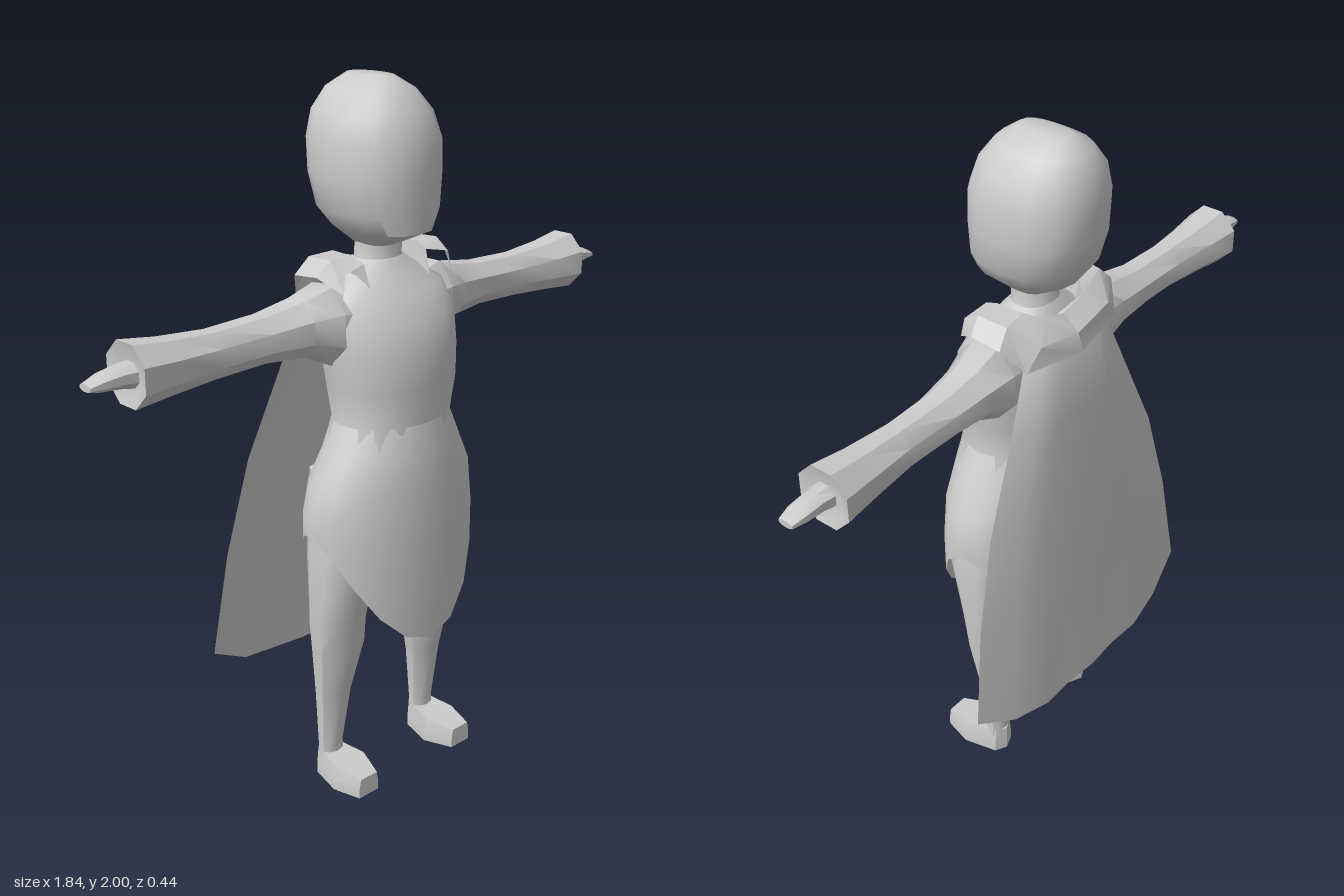
import * as THREE from 'three';
import { toCreasedNormals } from 'three/addons/utils/BufferGeometryUtils.js';

const grey = new THREE.MeshStandardMaterial({ color: 0xcccccc, side: THREE.DoubleSide });
grey.name = 'plainGrey';

// Skin a list of point rows; open rows do not wrap round, caps fill the ends.
function loft(rows, options) {
  const n = rows[0].length;
  const pos = rows.flat(2);
  const idx = [];
  const at = function (i, j) {
    return i * n + (j % n);
  };
  const steps = options.open ? n - 1 : n;
  for (let i = 0; i < rows.length - 1; i++) {
    for (let j = 0; j < steps; j++) {
      const a = at(i, j);
      const c = at(i + 1, j + 1);
      idx.push(a, at(i, j + 1), c);
      idx.push(a, c, at(i + 1, j));
    }
  }
  const cap = function (i, flip) {
    const m = pos.length / 3;
    const centre = [0, 0, 0];
    for (const p of rows[i]) {
      for (let k = 0; k < 3; k++) centre[k] += p[k] / n;
    }
    pos.push(centre[0], centre[1], centre[2]);
    for (let j = 0; j < n; j++) {
      if (flip) idx.push(m, at(i, j + 1), at(i, j));
      else idx.push(m, at(i, j), at(i, j + 1));
    }
  };
  if (options.capStart) cap(0, true);
  if (options.capEnd) cap(rows.length - 1, false);
  const geometry = new THREE.BufferGeometry();
  geometry.setAttribute('position', new THREE.Float32BufferAttribute(pos, 3));
  geometry.setIndex(idx);
  return toCreasedNormals(geometry, options.crease);
}

// Horizontal oval ring from its extents; power under 1 makes it squarer.
// heightAt gives y from the cosine of the angle, 1 at the front and -1 at the back.
function ovalAt(heightAt, x0, x1, z0, z1, n, power) {
  const bend = function (v) {
    return Math.sign(v) * Math.pow(Math.abs(v), power);
  };
  const ring = [];
  for (let j = 0; j < n; j++) {
    const a = (2 * Math.PI * j) / n;
    const x = (x0 + x1) / 2 + (bend(Math.sin(a)) * (x1 - x0)) / 2;
    const z = (z0 + z1) / 2 + (bend(Math.cos(a)) * (z1 - z0)) / 2;
    ring.push([x, heightAt(Math.cos(a)), z]);
  }
  return ring;
}

function oval(y, x0, x1, z0, z1, n, power) {
  const level = function () {
    return y;
  };
  return ovalAt(level, x0, x1, z0, z1, n, power);
}

// Upright eight-sided ring across the arm.
function armRing(x, y0, y1, z0, z1) {
  const ring = [];
  for (let j = 0; j < 8; j++) {
    const a = (2 * Math.PI * (j + 0.5)) / 8;
    const y = (y0 + y1) / 2 - (Math.sin(a) * (y1 - y0)) / 2;
    const z = (z0 + z1) / 2 + (Math.cos(a) * (z1 - z0)) / 2;
    ring.push([x, y, z]);
  }
  return ring;
}

function mirrorRow(row) {
  const mirrored = row.map(function (p) {
    return [-p[0], p[1], p[2]];
  });
  return mirrored.reverse();
}

export function createModel() {
  const model = new THREE.Group();
  const add = function (name, rows, options) {
    const mesh = new THREE.Mesh(loft(rows, options), grey);
    mesh.name = name;
    model.add(mesh);
  };
  const addPair = function (name, rows, options) {
    add('left' + name, rows, options);
    add('right' + name, rows.map(mirrorRow), options);
  };

  // Head: y, half width, back z, front z
  const headSizes = [
    [1.565, 0.06, -0.05, 0.06], [1.61, 0.112, -0.125, 0.163], [1.66, 0.148, -0.16, 0.165],
    [1.75, 0.16, -0.185, 0.167], [1.84, 0.16, -0.19, 0.165], [1.91, 0.143, -0.178, 0.14],
    [1.965, 0.1, -0.15, 0.1], [2, 0.04, -0.1, 0.05]
  ];
  const headRows = headSizes.map(([y, w, b, f]) => oval(y, -w, w, b, f, 16, 0.85));
  add('head', headRows, { capStart: true, capEnd: true, crease: 0.75 });

  const neckRows = [
    oval(1.46, -0.1, 0.1, -0.08, 0.09, 12, 1),
    oval(1.53, -0.07, 0.07, -0.055, 0.06, 12, 1),
    oval(1.59, -0.07, 0.07, -0.05, 0.065, 12, 1)
  ];
  add('neck', neckRows, { crease: 0.75 });

  // Torso: y, half width, back z, front z
  const torsoSizes = [
    [1.0, 0.215, -0.09, 0.2], [1.1, 0.178, -0.08, 0.19], [1.2, 0.195, -0.09, 0.2],
    [1.29, 0.205, -0.1, 0.195], [1.38, 0.215, -0.105, 0.175], [1.45, 0.2, -0.1, 0.125],
    [1.49, 0.13, -0.08, 0.09], [1.53, 0.07, -0.055, 0.06]
  ];
  const torsoRows = torsoSizes.map(([y, w, b, f]) => oval(y, -w, w, b, f, 16, 0.9));
  add('torso', torsoRows, { crease: 1 });

  // Tunic skirt, pointed at front and back
  const hem = function (f) {
    if (f > 0) return 0.8 - 0.34 * Math.pow(f, 1.7);
    return 0.8 - 0.25 * Math.pow(-f, 2.5);
  };
  const midSkirt = function (f) {
    return (hem(f) + 0.93) / 2;
  };
  const skirtRows = [
    ovalAt(hem, -0.285, 0.285, -0.13, 0.22, 20, 1),
    ovalAt(midSkirt, -0.285, 0.285, -0.128, 0.22, 20, 1),
    oval(0.93, -0.265, 0.265, -0.118, 0.218, 20, 1),
    oval(1.02, -0.217, 0.217, -0.095, 0.207, 20, 1),
    oval(1.1, -0.18, 0.18, -0.083, 0.193, 20, 1)
  ];
  add('tunicSkirt', skirtRows, { crease: 1 });

  // Sleeves with a recessed cuff
  const sleeveSizes = [
    [0.12, 1.27, 1.47, -0.09, 0.1], [0.2, 1.26, 1.49, -0.1, 0.1], [0.28, 1.3, 1.46, -0.09, 0.07],
    [0.4, 1.31, 1.44, -0.08, 0.05], [0.56, 1.305, 1.435, -0.075, 0.045], [0.7, 1.295, 1.445, -0.09, 0.055],
    [0.805, 1.285, 1.46, -0.105, 0.065], [0.795, 1.32, 1.425, -0.07, 0.03]
  ];
  const sleeveRows = sleeveSizes.map((s) => armRing(...s));
  addPair('Sleeve', sleeveRows, { capEnd: true, crease: 0.75 });

  // Hands
  const handSizes = [
    [0.78, 1.335, 1.41, -0.055, 0.025], [0.83, 1.345, 1.405, -0.05, 0.018],
    [0.885, 1.35, 1.395, -0.048, 0.016], [0.922, 1.358, 1.378, -0.04, 0.008]
  ];
  const handRows = handSizes.map((s) => armRing(...s));
  addPair('Hand', handRows, { capEnd: true, crease: 0.75 });

  // Legs: y, inner x, outer x, back z, front z
  const legSizes = [
    [0.06, 0.145, 0.228, -0.033, 0.03], [0.1, 0.147, 0.226, -0.03, 0.025], [0.28, 0.125, 0.24, -0.035, 0.05],
    [0.44, 0.09, 0.26, -0.04, 0.085], [0.52, 0.09, 0.267, -0.045, 0.095],
    [0.72, 0.075, 0.272, -0.055, 0.14], [0.95, 0, 0.24, -0.09, 0.17]
  ];
  const legRows = legSizes.map((s) => oval(...s, 10, 0.9));
  addPair('Leg', legRows, { capEnd: true, crease: 0.75 });

  // Feet: sole outline with a smaller top sloping to the toe
  const sole = [[0.155, 0.165], [0.228, 0.165], [0.25, 0.08], [0.225, -0.02], [0.19, -0.037], [0.15, -0.02], [0.122, 0.08]];
  const footRows = [
    sole.map(([x, z]) => [x, 0, z]),
    sole.map(([x, z]) => [x, 0.03, z]),
    sole.map(([x, z]) => [0.187 + (x - 0.187) * 0.85, 0.085 - Math.max(0, z) * 0.16, z])
  ];
  addPair('Foot', footRows, { capStart: true, capEnd: true, crease: 0.5 });

  // Cape: y, half width, centre z, rise of the outer corners
  const folds = [-1, -0.72, -0.45, -0.22, 0, 0.22, 0.45, 0.72, 1];
  const capeSizes = [
    [0.33, 0.47, -0.218, 0.1], [0.7, 0.425, -0.198, 0.03], [1.0, 0.355, -0.18, 0],
    [1.25, 0.245, -0.162, 0], [1.42, 0.175, -0.145, 0], [1.5, 0.125, -0.1, 0]
  ];
  const capeRows = capeSizes.map(([y, w, z, rise]) => {
    return folds.map((u, k) => {
      const edge = Math.pow(u, 4);
      const pleat = 0.008 * (k % 2);
      return [-u * w, y + rise * edge, z + 0.047 * edge + pleat];
    });
  });
  add('cape', capeRows, { open: true, crease: 1 });

  // Collar: turned-over strip on each shoulder, dipping to the centre back
  const collarRows = [
    [[0.11, 1.47, 0.09], [0.115, 1.535, 0.07], [0.19, 1.52, 0.08], [0.2, 1.47, 0.085]],
    [[0.11, 1.48, 0.02], [0.12, 1.55, 0.03], [0.195, 1.55, 0.03], [0.235, 1.51, 0.02]],
    [[0.105, 1.48, -0.05], [0.115, 1.55, -0.05], [0.19, 1.545, -0.06], [0.232, 1.5, -0.07]],
    [[0.08, 1.49, -0.08], [0.08, 1.53, -0.09], [0.14, 1.49, -0.13], [0.185, 1.43, -0.12]],
    [[0, 1.5, -0.07], [0, 1.51, -0.09], [0, 1.47, -0.14], [0, 1.42, -0.155]]
  ];
  addPair('Collar', collarRows, { open: true, crease: 0.5 });

  return model;
}
